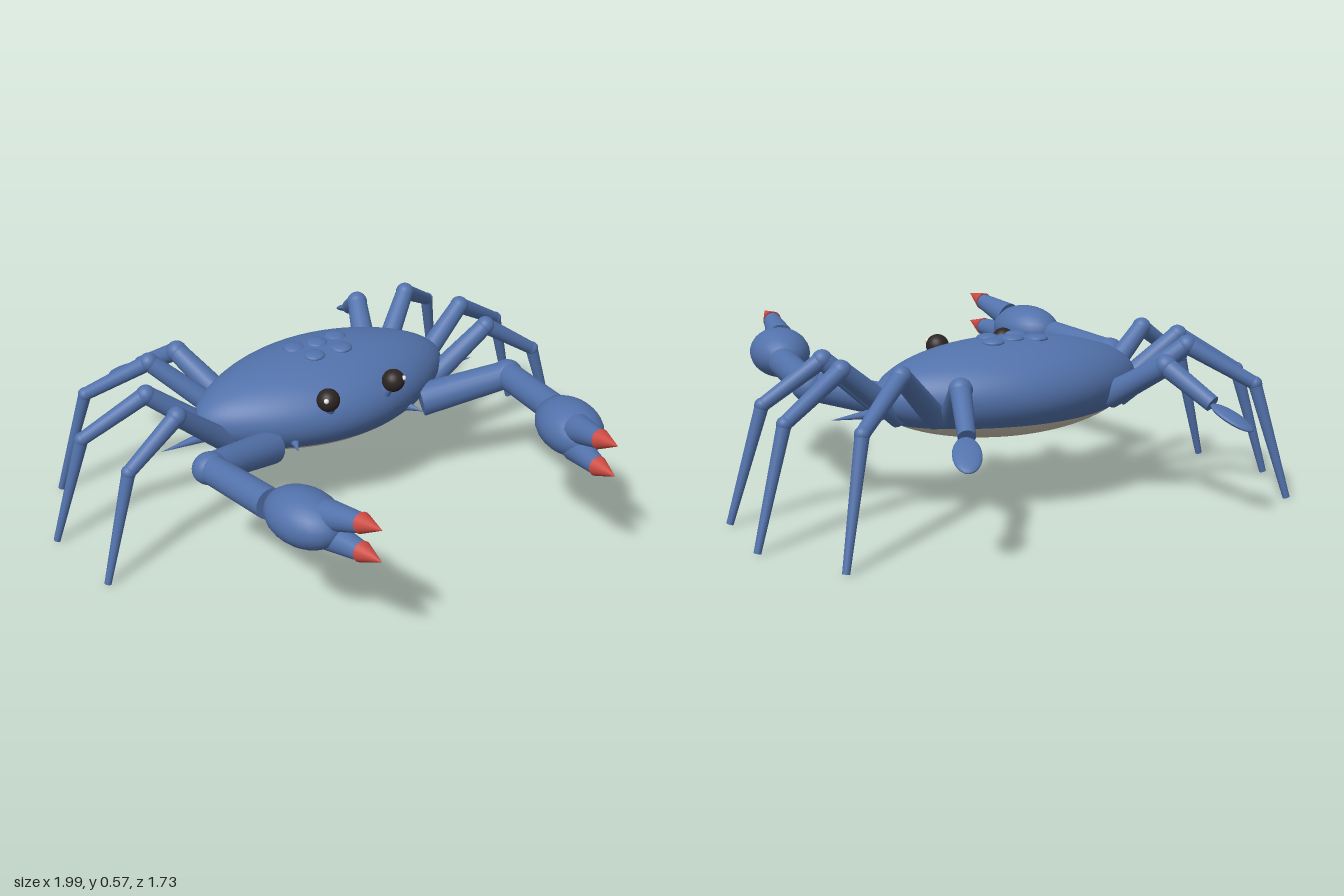
import * as THREE from 'three';
import { mergeVertices } from 'three/addons/utils/BufferGeometryUtils.js';

const paint = (name, color) => {
  const m = new THREE.MeshStandardMaterial({ color });
  m.name = name;
  return m;
};

export function createModel() {
  const blue = paint('shell blue', 0x5272ab);
  const cream = paint('belly cream', 0xccc3b0);
  const red = paint('claw tip red', 0xcb4a42);
  const black = paint('eye black', 0x2c2423);
  const white = paint('eye glint white', 0xffffff);
  const V = (p) => new THREE.Vector3(...p);
  const model = new THREE.Group();
  model.name = 'crab';

  function add(parent, name, geometry, material) {
    const mesh = new THREE.Mesh(geometry, material);
    mesh.name = name;
    parent.add(mesh);
    return mesh;
  }

  // Tapered round limb from a to b
  function limb(parent, name, a, b, ra, rb, material = blue, sides = 20) {
    const start = V(a), end = V(b), dir = end.clone().sub(start);
    const geo = new THREE.CylinderGeometry(rb, ra, dir.length(), sides);
    const mesh = add(parent, name, geo, material);
    mesh.position.copy(start).add(end).multiplyScalar(0.5);
    mesh.quaternion.setFromUnitVectors(new THREE.Vector3(0, 1, 0), dir.normalize());
    return mesh;
  }

  // Ellipsoid whose z axis points along dir
  function ball(parent, name, p, size, material = blue, dir = [0, 0, 1]) {
    const mesh = add(parent, name, new THREE.SphereGeometry(1, 24, 16), material);
    mesh.position.set(...p);
    mesh.scale.set(...size);
    mesh.lookAt(V(p).add(V(dir)));
    return mesh;
  }

  // Shell and belly share one ellipsoid, narrowed towards its side tips
  function bodyPart(name, thetaStart, thetaLength, material) {
    let geo = new THREE.SphereGeometry(1, 72, 28, 0, Math.PI * 2, thetaStart, thetaLength);
    const pos = geo.attributes.position;
    for (let i = 0; i < pos.count; i++) {
      const x = pos.getX(i);
      pos.setXYZ(i, x * 0.5, 0.4 + pos.getY(i) * 0.165,
        -0.205 + pos.getZ(i) * 0.275 * (1 - 0.28 * x * x));
    }
    geo.deleteAttribute('uv');
    geo.deleteAttribute('normal');
    geo = mergeVertices(geo, 1e-5);
    geo.computeVertexNormals();
    add(model, name, geo, material);
  }
  const split = Math.acos(-0.545);
  bodyPart('shell', 0, split, blue);
  bodyPart('belly', split, Math.PI - split, cream);

  // Low round bumps on the back
  for (const [x, z] of [[-0.085, -0.25], [0.085, -0.25], [0, -0.235], [-0.055, -0.16], [0.055, -0.16]]) {
    const y = 0.4 + 0.165 * Math.sqrt(1 - (x / 0.5) ** 2 - ((z + 0.205) / 0.275) ** 2);
    ball(model, 'backBump', [x, y - 0.002, z], [0.038, 0.013, 0.038]);
  }

  // Walking legs: hip, knee, ankle, tip
  const legs = [
    [[0.42, 0.34, -0.13], [0.63, 0.525, -0.085], [0.83, 0.39, -0.055], [0.945, 0.004, -0.035]],
    [[0.42, 0.34, -0.225], [0.65, 0.525, -0.275], [0.87, 0.39, -0.335], [0.983, 0.004, -0.368]],
    [[0.35, 0.35, -0.345], [0.54, 0.53, -0.475], [0.735, 0.4, -0.605], [0.83, 0.004, -0.68]],
  ];

  for (const s of [1, -1]) {
    const side = new THREE.Group();
    side.name = s > 0 ? 'leftLimbs' : 'rightLimbs';
    model.add(side);
    const P = (x, y, z) => [s * x, y, z];

    for (const joints of legs) {
      const [hip, knee, ankle, tip] = joints.map((j) => P(...j));
      const leg = new THREE.Group();
      leg.name = 'walkingLeg';
      side.add(leg);
      limb(leg, 'upperLeg', hip, knee, 0.04, 0.032);
      ball(leg, 'knee', knee, [0.034, 0.034, 0.034]);
      limb(leg, 'middleLeg', knee, ankle, 0.03, 0.023);
      ball(leg, 'ankle', ankle, [0.025, 0.025, 0.025]);
      limb(leg, 'lowerLeg', ankle, tip, 0.023, 0.012);
    }

    // Swimming leg with flat paddle
    const swim = new THREE.Group();
    swim.name = 'swimmingLeg';
    side.add(swim);
    const knee = P(0.385, 0.49, -0.57), ankle = P(0.455, 0.385, -0.735);
    limb(swim, 'upperLeg', P(0.3, 0.36, -0.37), knee, 0.045, 0.036);
    ball(swim, 'knee', knee, [0.038, 0.038, 0.038]);
    limb(swim, 'middleLeg', knee, ankle, 0.034, 0.028);
    ball(swim, 'paddle', P(0.488, 0.348, -0.797), [0.045, 0.014, 0.083], blue, P(0.032, -0.035, -0.066));

    // Claw arm
    const claw = new THREE.Group();
    claw.name = 'clawArm';
    side.add(claw);
    const elbow = P(0.605, 0.405, 0.085);
    limb(claw, 'upperArm', P(0.31, 0.335, -0.03), elbow, 0.06, 0.05);
    ball(claw, 'elbow', elbow, [0.06, 0.055, 0.055]);
    limb(claw, 'forearm', elbow, P(0.565, 0.425, 0.405), 0.05, 0.052);
    ball(claw, 'palm', P(0.52, 0.436, 0.54), [0.106, 0.088, 0.15], blue, P(-0.03, 0, 0.15));
    for (const [y0, y1, y2] of [[0.475, 0.515, 0.537], [0.405, 0.413, 0.425]]) {
      limb(claw, 'finger', P(0.485, y0, 0.62), P(0.455, y1, 0.77), 0.05, 0.03);
      limb(claw, 'fingerTip', P(0.456, y1, 0.765), P(0.447, y2, 0.86), 0.034, 0, red);
    }

    // Eye on a short stalk
    limb(side, 'eyeStalk', P(0.105, 0.425, 0.02), P(0.13, 0.5, 0.053), 0.022, 0.018);
    ball(side, 'eyeStalkBase', P(0.105, 0.425, 0.02), [0.022, 0.022, 0.022]);
    ball(side, 'eye', P(0.132, 0.503, 0.055), [0.04, 0.04, 0.04], black);
    ball(side, 'eyeGlint', P(0.156, 0.517, 0.082), [0.009, 0.009, 0.009], white);

    // Spines along the shell rim
    const spines = [
      [[0.23, 0.345, -0.01], [0.258, 0.345, 0.062], 0.018],
      [[0.34, 0.345, -0.05], [0.385, 0.345, 0.015], 0.018],
      [[0.42, 0.345, -0.11], [0.475, 0.345, -0.065], 0.018],
      [[0.43, 0.355, -0.19], [0.65, 0.345, -0.185], 0.026],
    ];
    for (const [a, b, r] of spines) limb(side, 'rimSpine', P(...a), P(...b), r, 0, blue, 12);
  }
  return model;
}
